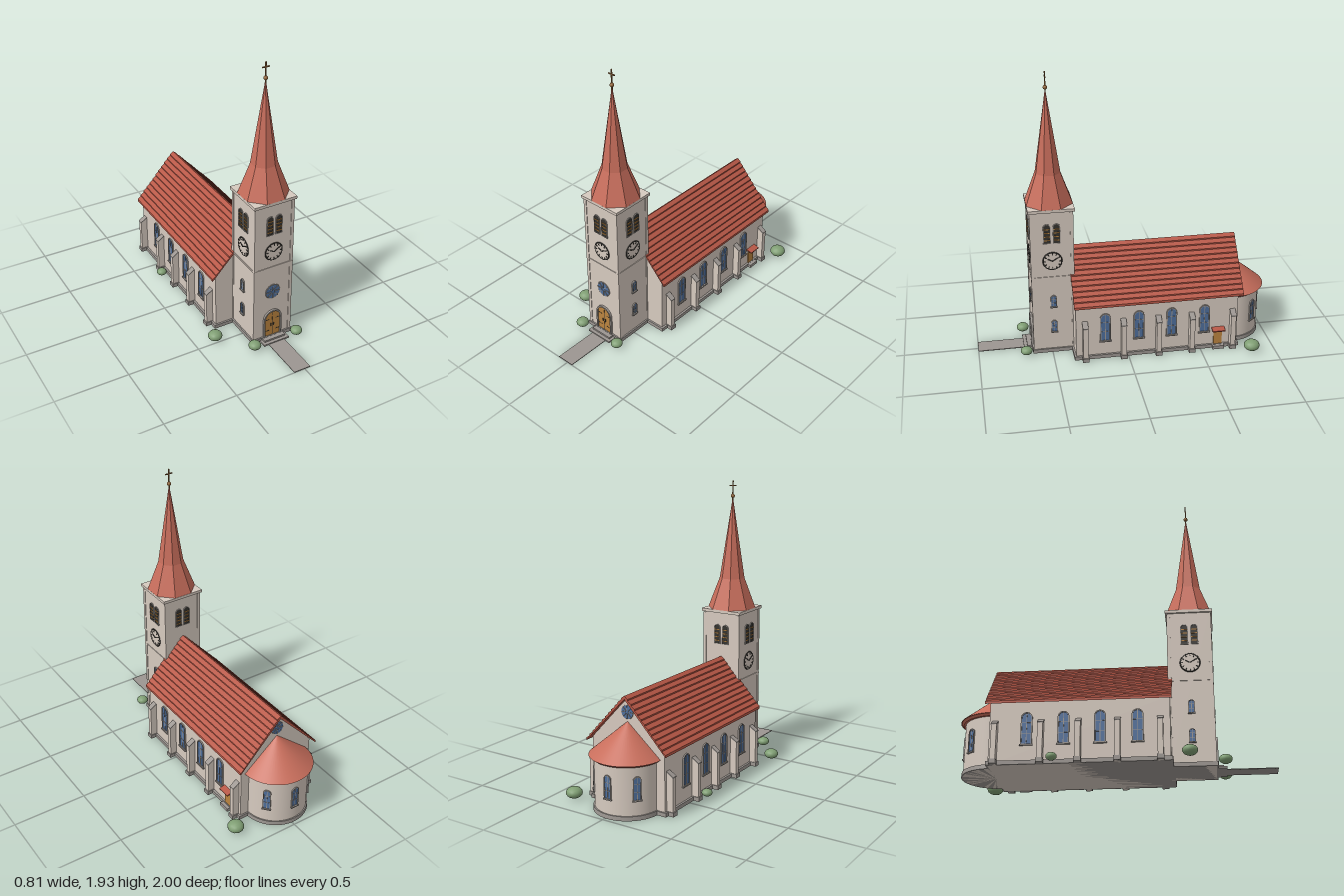
import * as THREE from 'three';

const mat = (name, color, extra = {}) => Object.assign(new THREE.MeshStandardMaterial({ color, ...extra }), { name });

export function createModel() {
  const wall = mat('plaster', 0xd6cabf);
  const stone = mat('grey stone', 0x9c9691);
  const roofRed = mat('roof tile', 0xb85847);
  const spireRed = mat('spire tile', 0xc86e5c, { flatShading: true });
  const apseRed = mat('apse tile', 0xc86e5c);
  const glass = mat('blue glass', 0x4f6f9c);
  const wood = mat('wood', 0xbb843f);
  const dark = mat('dark iron', 0x35332f);
  const bronze = mat('bronze', 0x94683c);
  const leaf = mat('leaf', 0x809f74);

  const model = new THREE.Group();
  model.name = 'church';
  const church = new THREE.Group();
  church.name = 'building';
  church.position.x = -0.018;
  model.add(church);

  const add = (parent, name, geo, material, x = 0, y = 0, z = 0) => {
    const m = new THREE.Mesh(geo, material);
    m.name = name;
    m.position.set(x, y, z);
    parent.add(m);
    return m;
  };
  const box = (parent, name, material, w, h, d, x, y, z) =>
    add(parent, name, new THREE.BoxGeometry(w, h, d), material, x, y, z);
  const extrude = (shape, depth) =>
    new THREE.ExtrudeGeometry(shape, { depth, bevelEnabled: false, curveSegments: 10 });
  const polygon = pts => new THREE.Shape(pts.map(p => new THREE.Vector2(...p)));
  // Round-headed outline, standing on y0
  const arch = (w, h, y0 = 0) => {
    const s = new THREE.Shape();
    s.moveTo(-w / 2, y0);
    s.lineTo(w / 2, y0);
    s.lineTo(w / 2, y0 + h - w / 2);
    s.absarc(0, y0 + h - w / 2, w / 2, 0, Math.PI, false);
    s.closePath();
    return s;
  };
  const archFrame = (w, h, t) => {
    const s = arch(w, h);
    s.holes.push(arch(w - 2 * t, h - 2 * t, t));
    return s;
  };
  // Facade details are made facing +z, then turned onto their wall
  const place = (name, x, y, z, turn = 0) => {
    const g = new THREE.Group();
    g.name = name;
    g.position.set(x, y, z);
    g.rotation.y = turn;
    church.add(g);
    return g;
  };

  function archWindow(name, w, h, x, y, z, turn) {
    const g = place(name, x, y, z, turn);
    add(g, 'pane', extrude(arch(w * 0.96, h * 0.98), 0.004), glass);
    add(g, 'frame', extrude(archFrame(w, h, w * 0.1), 0.009), stone);
    box(g, 'mullion', stone, 0.004, h * 0.95, 0.006, 0, h / 2, 0.003);
    for (const f of [0.35, 0.68]) box(g, 'glazing bar', stone, w * 0.9, 0.003, 0.006, 0, h * f, 0.003);
    box(g, 'sill', stone, w * 1.15, 0.008, 0.014, 0, 0, 0.006);
  }

  function roseWindow(r, y, z, turn) {
    const g = place('rose window', 0, y, z, turn);
    add(g, 'pane', new THREE.CircleGeometry(r * 0.95, 32), glass, 0, 0, 0.003);
    add(g, 'rim', new THREE.TorusGeometry(r * 0.94, r * 0.07, 6, 32), stone);
    add(g, 'hub', new THREE.TorusGeometry(r * 0.2, r * 0.06, 6, 16), stone);
    for (let i = 0; i < 8; i++) {
      const a = i * Math.PI / 4;
      const spoke = box(g, 'spoke', stone, r * 0.72, r * 0.07, 0.008,
        Math.cos(a) * r * 0.58, Math.sin(a) * r * 0.58, 0.003);
      spoke.rotation.z = a;
    }
  }

  function clock(x, y, z, turn) {
    const g = place('clock', x, y, z, turn);
    add(g, 'face', new THREE.CircleGeometry(0.062, 32), wall, 0, 0, 0.003);
    add(g, 'rim', new THREE.TorusGeometry(0.061, 0.005, 6, 36), dark);
    for (let i = 0; i < 12; i++) {
      const a = i * Math.PI / 6;
      box(g, 'hour mark', dark, 0.013, 0.006, 0.004, Math.cos(a) * 0.05, Math.sin(a) * 0.05, 0.004).rotation.z = a;
    }
    for (const [a, len] of [[0.55, 0.046], [2.65, 0.034]])
      box(g, 'hand', dark, len, 0.006, 0.004, Math.cos(a) * len / 2, Math.sin(a) * len / 2, 0.005).rotation.z = a;
  }

  function belfryOpening(x, y, z, turn) {
    const g = place('belfry louvres', x, y, z, turn);
    for (const s of [-1, 1]) {
      const o = new THREE.Group();
      o.position.x = s * 0.032;
      g.add(o);
      add(o, 'opening', extrude(arch(0.046, 0.137), 0.003), dark);
      add(o, 'frame', extrude(archFrame(0.05, 0.14, 0.004), 0.006), stone);
      for (let i = 0; i < 4; i++) box(o, 'slat', wood, 0.038, 0.005, 0.006, 0, 0.025 + i * 0.026, 0.004);
    }
  }

  // Nave: gabled block on a plinth
  const gable = polygon([[-0.273, 0], [0.273, 0], [0.273, 0.415], [0, 0.71], [-0.273, 0.415]]);
  add(church, 'nave walls', extrude(gable, 1.112), wall, 0, 0, -0.757);
  box(church, 'nave plinth', stone, 0.575, 0.026, 1.135, 0, 0.013, -0.2);

  // Nave roof: one profile with a small step at each row of tiles
  const rows = 12, half = 0.3, eave = 0.4, rise = 0.33;
  const right = [];
  for (let i = 0; i < rows; i++) {
    const lip = 0.009;
    right.push([half * (1 - i / rows), eave + rise * i / rows + lip]);
    right.push([half * (1 - (i + 1) / rows), eave + rise * (i + 1) / rows]);
  }
  const left = right.slice(0, -1).reverse().map(([x, y]) => [-x, y]);
  const roofShape = polygon([[half, eave - 0.008], ...right, ...left, [-half, eave - 0.008], [0, eave + rise - 0.022]]);
  add(church, 'nave roof', extrude(roofShape, 1.154), roofRed, 0, 0, -0.788);

  // Buttresses and tall windows on both sides
  const buttress = polygon([[0, 0], [0.052, 0], [0.052, 0.25], [0.044, 0.257], [0, 0.285]]);
  const cap = polygon([[0, 0.283], [0.054, 0.248], [0.054, 0.255], [0, 0.291]]);
  for (const s of [-1, 1]) {
    for (const z of [0.295, 0.035, -0.205, -0.435, -0.72]) {
      const g = place('buttress', s * 0.267, 0, z, s > 0 ? 0 : Math.PI);
      add(g, 'pier', extrude(buttress, 0.034), wall, 0, 0, -0.017);
      add(g, 'cap', extrude(cap, 0.038), stone, 0, 0, -0.019);
      box(g, 'foot', stone, 0.058, 0.028, 0.044, 0.03, 0.014, 0);
    }
    for (const z of [0.157, -0.072, -0.297, -0.525])
      archWindow('nave window', 0.072, 0.21, s * 0.273, 0.125, z, s * Math.PI / 2);
  }

  // Side door with a small canopy
  const side = place('side door', 0.273, 0, -0.622, Math.PI / 2);
  box(side, 'door leaf', wood, 0.058, 0.115, 0.01, 0, 0.082, 0.003);
  box(side, 'step', stone, 0.08, 0.024, 0.04, 0, 0.012, 0.018);
  box(side, 'canopy', roofRed, 0.088, 0.009, 0.05, 0, 0.146, 0.018).rotation.x = 0.25;

  // Apse: half-round wall under a half-cone roof
  const halfRound = (r1, r2, h) => new THREE.CylinderGeometry(r1, r2, h, 32, 1, false, Math.PI / 2, Math.PI);
  const az = -0.755;
  add(church, 'apse wall', halfRound(0.212, 0.212, 0.35), wall, 0, 0.175, az);
  add(church, 'apse plinth', halfRound(0.22, 0.222, 0.028), stone, 0, 0.014, az);
  add(church, 'apse eave', halfRound(0.238, 0.225, 0.014), apseRed, 0, 0.349, az);
  add(church, 'apse roof', halfRound(0.001, 0.244, 0.204), apseRed, 0, 0.458, az);
  for (const a of [-0.88, 0, 0.88])
    archWindow('apse window', 0.052, 0.155, Math.sin(a) * 0.21, 0.125, az - Math.cos(a) * 0.21, Math.PI - a);
  roseWindow(0.045, 0.62, -0.758, Math.PI);

  // Tower shaft, bands and corner strips
  const tz = 0.484, th = 0.143;
  box(church, 'tower shaft', wall, 0.28, 1.04, 0.28, 0, 0.52, tz);
  box(church, 'tower plinth', stone, 0.3, 0.027, 0.3, 0, 0.0135, tz);
  box(church, 'string course', wall, 0.289, 0.01, 0.289, 0, 0.568, tz);
  box(church, 'cornice', wall, 0.306, 0.02, 0.306, 0, 1.047, tz);
  for (const sx of [-1, 1]) for (const sz of [-1, 1])
    box(church, 'corner strip', wall, 0.022, 1.03, 0.022, sx * 0.1325, 0.515, tz + sz * 0.1325);

  // Belfry on four sides, clocks on the three open ones
  for (let i = 0; i < 4; i++) {
    const a = i * Math.PI / 2;
    const x = Math.sin(a) * 0.14, z = tz + Math.cos(a) * 0.14;
    belfryOpening(x, 0.815, z, a);
    if (i !== 2) clock(x, 0.687, z, a);
    if (i % 2) for (const y of [0.155, 0.345]) archWindow('tower window', 0.04, 0.088, x, y, z, a);
  }
  roseWindow(0.055, 0.375, tz + 0.14, 0);

  // Eight-sided spire, flared at the foot
  const k = 1 / Math.cos(Math.PI / 8);
  const spire = (r1, r2, y1, y2, name) => {
    const geo = new THREE.CylinderGeometry(r1 * k, r2 * k, y2 - y1, 8);
    add(church, name, geo, spireRed, 0, (y1 + y2) / 2, tz).rotation.y = Math.PI / 8;
  };
  spire(0.08, 0.153, 1.056, 1.265, 'spire foot');
  spire(0.003, 0.08, 1.265, 1.805, 'spire');
  add(church, 'finial ball', new THREE.SphereGeometry(0.014, 16, 12), bronze, 0, 1.83, tz);
  box(church, 'cross post', bronze, 0.007, 0.14, 0.007, 0, 1.863, tz);
  box(church, 'cross arm', bronze, 0.05, 0.007, 0.007, 0, 1.9, tz);

  // Main door
  const door = place('main door', 0, 0.022, tz + 0.14);
  add(door, 'door leaves', extrude(arch(0.116, 0.2), 0.006), wood);
  add(door, 'surround', extrude(archFrame(0.134, 0.215, 0.011), 0.014), stone, 0, -0.008, 0);
  box(door, 'door joint', dark, 0.003, 0.198, 0.004, 0, 0.099, 0.005);
  for (const s of [-1, 1]) {
    box(door, 'hinge', dark, 0.03, 0.004, 0.004, s * 0.038, 0.045, 0.005);
    box(door, 'hinge', dark, 0.03, 0.004, 0.004, s * 0.038, 0.135, 0.005);
    box(door, 'handle', dark, 0.005, 0.02, 0.008, s * 0.01, 0.09, 0.007);
  }

  // Steps and path
  box(church, 'lower step', stone, 0.19, 0.012, 0.07, 0, 0.006, 0.655);
  box(church, 'upper step', stone, 0.155, 0.012, 0.045, 0, 0.018, 0.645);
  box(church, 'path', stone, 0.12, 0.005, 0.33, 0, 0.0025, 0.835);

  // Bushes
  for (const [x, z, r] of [[0.35, -0.84, 0.054], [-0.345, -0.36, 0.035], [-0.36, 0.47, 0.048],
    [-0.18, 0.68, 0.042], [0.14, 0.68, 0.04]]) {
    const b = add(model, 'bush', new THREE.IcosahedronGeometry(r, 2), leaf, x, 0.008 + r * 0.66, z);
    b.scale.y = 0.7;
  }
  return model;
}
